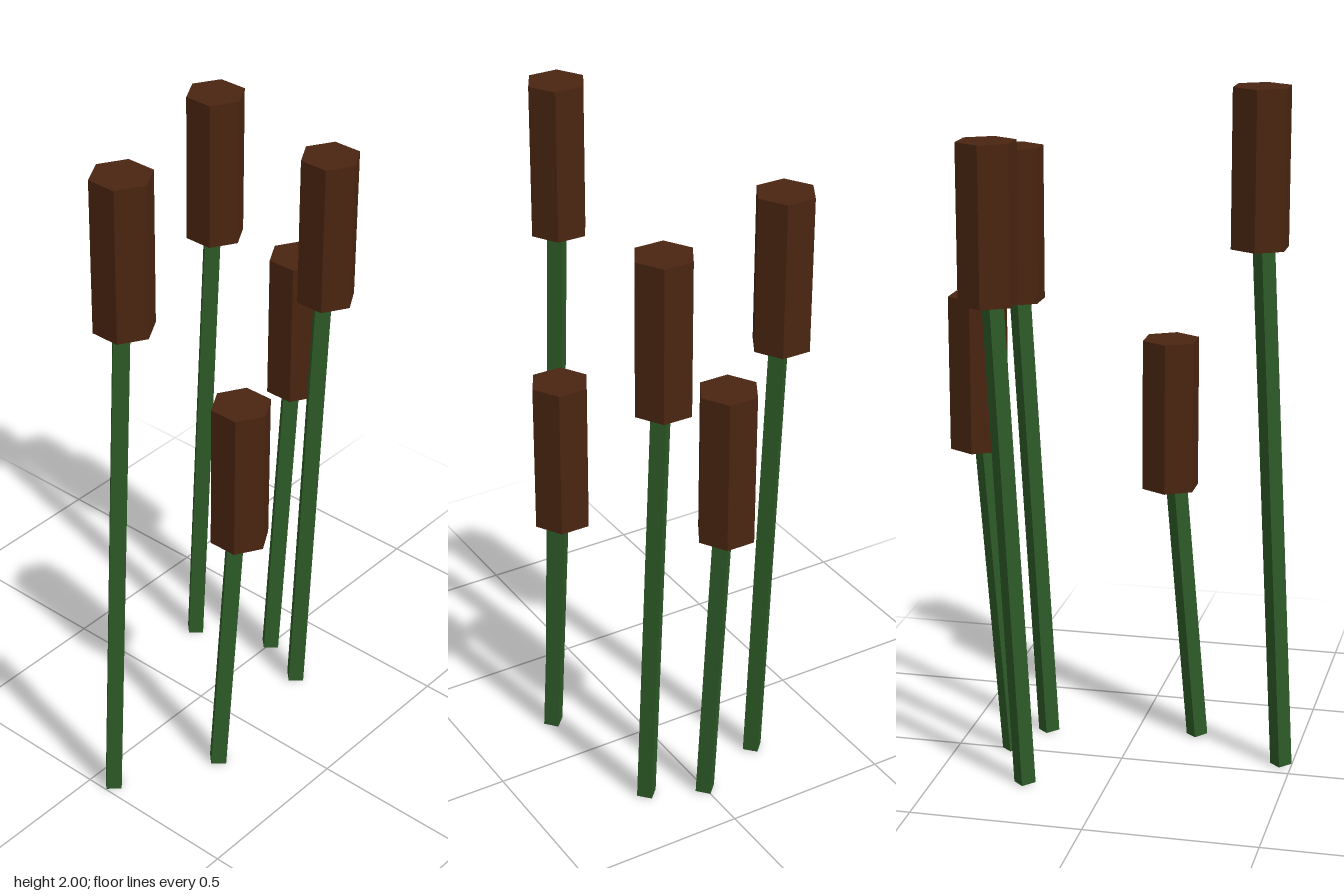
import * as THREE from 'three';

const stemGreen = new THREE.MeshStandardMaterial({ color: 0x2d5a27, flatShading: true });
stemGreen.name = 'stemGreen';
const headBrown = new THREE.MeshStandardMaterial({ color: 0x4a2511, flatShading: true });
headBrown.name = 'headBrown';

const HEAD_HEIGHT = 0.45;
const LEAN = 0.088; // sideways offset from stem foot to head centre
const STEM_RADIUS = 0.032;

// One reed: a leaning four-sided stem under an upright hexagonal head
function createReed(x, z, top) {
  const reed = new THREE.Group();
  reed.name = 'reed';
  const headY = top - HEAD_HEIGHT / 2;

  const head = new THREE.Mesh(new THREE.CylinderGeometry(0.0865, 0.0865, HEAD_HEIGHT, 6), headBrown);
  head.name = 'seedHead';
  head.position.set(x, headY, z);

  const angle = Math.atan2(LEAN, headY);
  const footY = STEM_RADIUS * Math.sin(angle); // keeps the lowest corner on the ground
  const length = Math.hypot(LEAN, headY - footY);
  const stem = new THREE.Mesh(new THREE.CylinderGeometry(STEM_RADIUS, STEM_RADIUS, length, 4), stemGreen);
  stem.name = 'stem';
  stem.position.set(x - LEAN / 2, (headY + footY) / 2, z);
  stem.rotation.z = -angle;

  reed.add(stem, head);
  return reed;
}

export function createModel() {
  const model = new THREE.Group();
  model.name = 'reeds';
  // head x, head z, head top
  const reeds = [
    [-0.38, 0.066, 2.0],
    [-0.095, 0.228, 1.235],
    [0.324, -0.23, 1.87],
    [0.353, 0.16, 1.795],
    [0.423, 0, 1.39],
  ];
  for (const [x, z, top] of reeds) model.add(createReed(x, z, top));
  return model;
}
